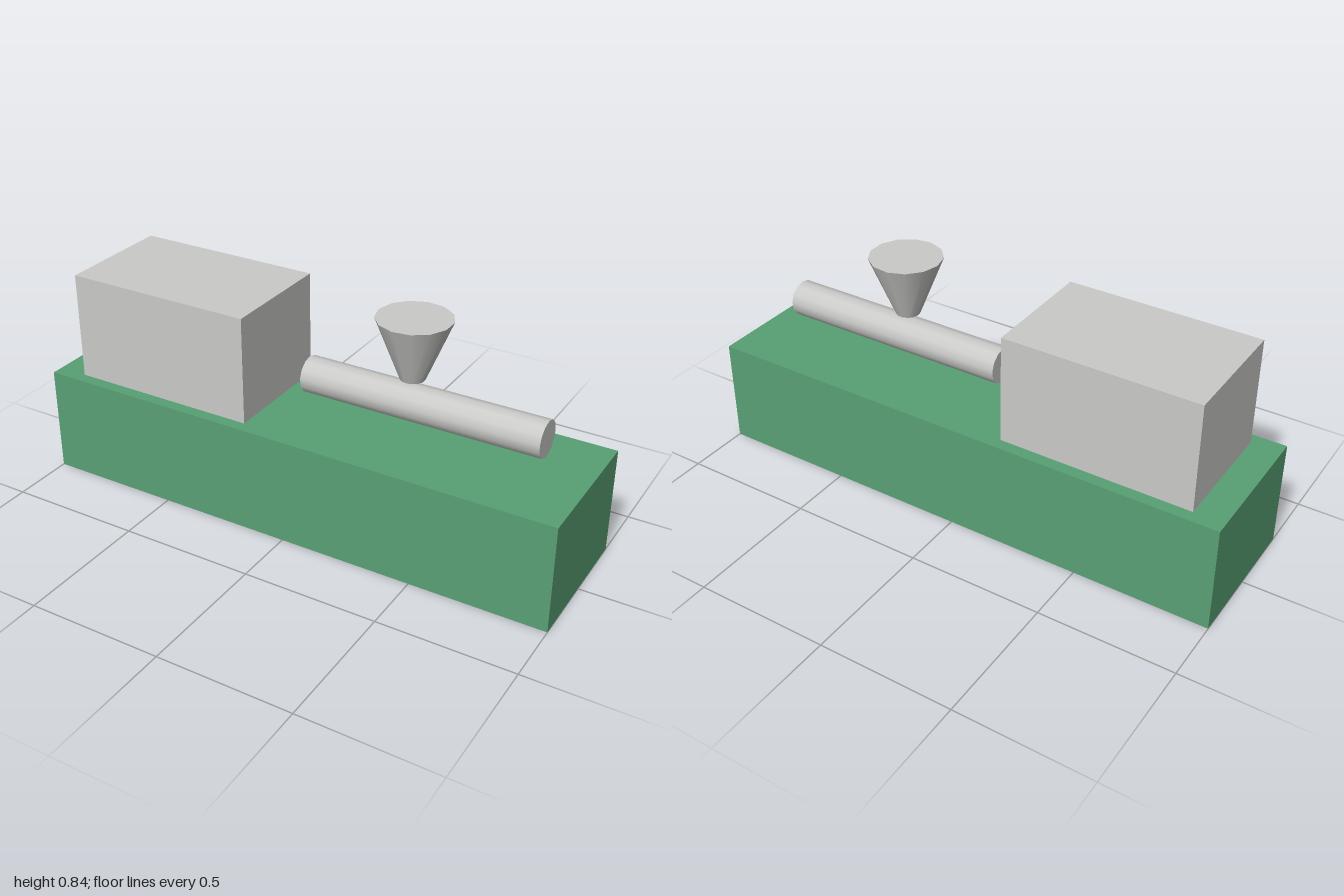
import * as THREE from 'three';

export function createModel() {
  const model = new THREE.Group();
  const green = new THREE.MeshStandardMaterial({ color: 0x58a074 });
  green.name = 'green';
  const grey = new THREE.MeshStandardMaterial({ color: 0xcacac8 });
  grey.name = 'light grey';
  const SIDES = 13;

  const add = (name, geometry, material, x, y, z = 0) => {
    const mesh = new THREE.Mesh(geometry, material);
    mesh.name = name;
    mesh.position.set(x, y, z);
    model.add(mesh);
    return mesh;
  };

  // Long base block
  add('base', new THREE.BoxGeometry(2, 0.4, 0.533), green, 0, 0.2);

  // Motor housing standing on the base
  add('motorHousing', new THREE.BoxGeometry(0.711, 0.4, 0.444), grey, -0.533, 0.6);

  // Horizontal barrel, one facet corner straight up
  const barrel = new THREE.CylinderGeometry(0.0667, 0.0667, 0.889, SIDES, 1, false, Math.PI / 2);
  barrel.rotateZ(Math.PI / 2);
  add('barrel', barrel, grey, 0.4, 0.533);

  // Closed hopper above the barrel, one facet corner toward -x
  const hopper = new THREE.CylinderGeometry(0.133, 0.0444, 0.222, SIDES, 1, false, -Math.PI / 2);
  add('hopper', hopper, grey, 0.3556, 0.733);

  return model;
}
